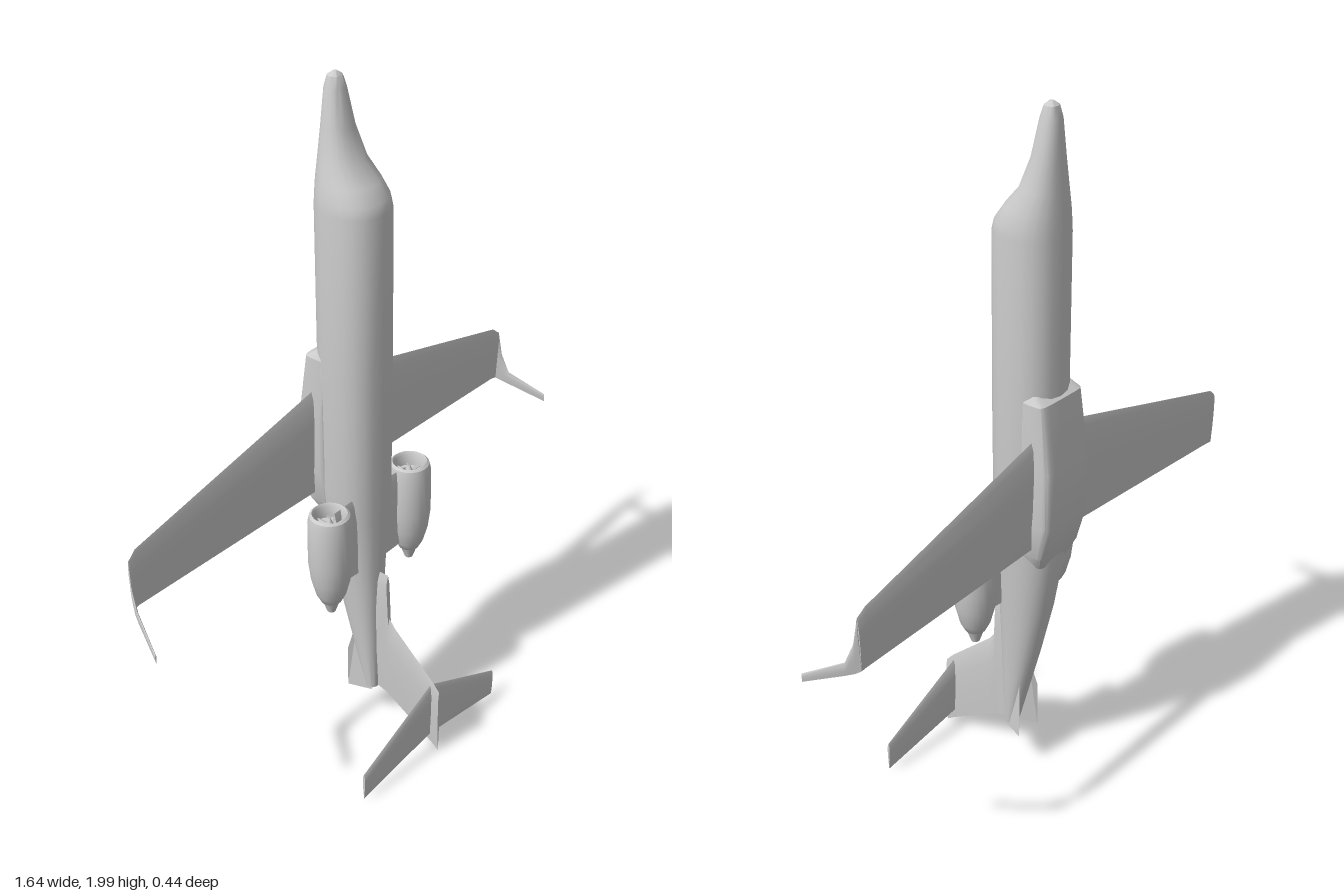
import * as THREE from 'three';
import { toCreasedNormals } from 'three/addons/utils/BufferGeometryUtils.js';

const V = (x, y, z) => new THREE.Vector3(x, y, z);

// Closed solid through equal-length rings of points, wound outward whatever the ring direction
function loft(rings, crease = 0.6) {
  const n = rings[0].length;
  const tris = [];
  for (let i = 0; i < rings.length - 1; i++) {
    for (let j = 0; j < n; j++) {
      const k = (j + 1) % n;
      const a = rings[i][j], b = rings[i][k], c = rings[i + 1][k], d = rings[i + 1][j];
      tris.push([a, b, c], [a, c, d]);
    }
  }
  const cap = (ring, flip) => {
    const mid = ring.reduce((s, p) => s.add(p), V(0, 0, 0)).divideScalar(n);
    ring.forEach((p, j) => {
      const q = ring[(j + 1) % n];
      tris.push(flip ? [mid, q, p] : [mid, p, q]);
    });
  };
  cap(rings[0], true);
  cap(rings[rings.length - 1], false);
  const volume = tris.reduce((s, [a, b, c]) => s + a.dot(b.clone().cross(c)), 0);
  const points = tris.flatMap(([a, b, c]) => (volume < 0 ? [a, c, b] : [a, b, c]));
  return toCreasedNormals(new THREE.BufferGeometry().setFromPoints(points), crease);
}

// Horizontal superellipse ring from half width and the z of its two sides
function bodyRing([y, w, top, belly], power = 2.3, sides = 20) {
  const f = (t) => Math.sign(t) * Math.pow(Math.abs(t), 2 / power);
  return Array.from({ length: sides }, (_, i) => {
    const a = (i / sides) * Math.PI * 2;
    return V(w * f(Math.cos(a)), y, (top + belly) / 2 + ((top - belly) / 2) * f(Math.sin(a)));
  });
}

// Thin aerofoil ring between leading and trailing edge, thickened along a normal
function foil(le, te, thick, normal) {
  const chord = [[0, 0], [0.08, 0.35], [0.3, 0.5], [0.65, 0.35], [1, 0.04],
    [0.65, -0.35], [0.3, -0.5], [0.08, -0.35]];
  return chord.map(([t, h]) => le.clone().lerp(te, t).addScaledVector(normal, h * thick));
}

export function createModel() {
  const model = new THREE.Group();
  const grey = new THREE.MeshStandardMaterial({ color: 0xcccccc });
  const twoSided = new THREE.MeshStandardMaterial({ color: 0xcccccc, side: THREE.DoubleSide });
  const add = (name, geometry, parent = model, material = grey) => {
    const mesh = new THREE.Mesh(geometry, material);
    mesh.name = name;
    parent.add(mesh);
    return mesh;
  };

  // Fuselage: y, half width, upper z, lower z
  const body = [
    [2.0, 0.006, -0.139, -0.151], [1.99, 0.02, -0.128, -0.164], [1.96, 0.029, -0.119, -0.172],
    [1.86, 0.046, -0.099, -0.178], [1.78, 0.064, -0.068, -0.183], [1.73, 0.08, -0.025, -0.186],
    [1.69, 0.09, 0.003, -0.187], [1.66, 0.093, 0.01, -0.188], [1.2, 0.093, 0.01, -0.188],
    [0.82, 0.09, 0.008, -0.19], [0.74, 0.082, 0.004, -0.189], [0.56, 0.064, -0.002, -0.16],
    [0.4, 0.048, -0.006, -0.122], [0.25, 0.034, -0.008, -0.082], [0.125, 0.022, -0.01, -0.048],
  ];
  add('fuselage', loft(body.map((r) => bodyRing(r))));

  // Boxy belly fairing
  const fairing = [
    [1.245, 0.075, -0.12, -0.165], [1.225, 0.088, -0.12, -0.195], [1.04, 0.094, -0.12, -0.221],
    [0.87, 0.094, -0.12, -0.221], [0.77, 0.084, -0.12, -0.196], [0.725, 0.06, -0.12, -0.176],
  ];
  add('bellyFairing', loft(fairing.map((r) => bodyRing(r, 6, 24)), 0.5));

  for (const s of [1, -1]) {
    const side = new THREE.Group();
    side.name = s > 0 ? 'leftSide' : 'rightSide';
    model.add(side);
    const up = V(0, 0, 1);

    // Swept wing with a clipped tip
    add('wing', loft([
      foil(V(0, 1.145, -0.163), V(0, 0.795, -0.163), 0.026, up),
      foil(V(s * 0.09, 1.122, -0.165), V(s * 0.09, 0.797, -0.165), 0.023, up),
      foil(V(s * 0.735, 0.957, -0.178), V(s * 0.735, 0.783, -0.178), 0.009, up),
      foil(V(s * 0.762, 0.935, -0.175), V(s * 0.755, 0.78, -0.177), 0.007, up),
    ]), side);

    // Canted winglet
    const out = V(s * 0.94, 0, -0.34);
    add('winglet', loft([
      foil(V(s * 0.762, 0.935, -0.175), V(s * 0.755, 0.78, -0.177), 0.007, out),
      foil(V(s * 0.768, 0.86, -0.165), V(s * 0.763, 0.772, -0.165), 0.007, out),
      foil(V(s * 0.776, 0.802, -0.142), V(s * 0.774, 0.762, -0.142), 0.006, out),
      foil(V(s * 0.819, 0.745, -0.035), V(s * 0.819, 0.72, -0.035), 0.004, out),
    ]), side);

    // Engine: hollow intake, fan and exhaust cone
    const engine = new THREE.Group();
    engine.name = 'engine';
    engine.position.set(s * 0.169, 0, -0.036);
    side.add(engine);
    const nacelle = [[0, 0.785], [0.042, 0.785], [0.044, 0.82], [0.049, 0.828], [0.056, 0.822],
      [0.061, 0.8], [0.062, 0.67], [0.055, 0.61], [0.042, 0.56], [0.029, 0.535], [0.024, 0.532],
      [0.012, 0.497], [0, 0.494]].map(([r, y]) => new THREE.Vector2(r, y)).reverse();
    add('nacelle', toCreasedNormals(new THREE.LatheGeometry(nacelle, 24), 0.6), engine);
    add('spinner', new THREE.ConeGeometry(0.014, 0.03, 16), engine).position.y = 0.8;
    for (let i = 0; i < 8; i++) {
      const blade = add('fanBlade', new THREE.BoxGeometry(0.036, 0.003, 0.008), engine);
      const a = (i / 8) * Math.PI * 2;
      blade.position.set(Math.cos(a) * 0.024, 0.79, -Math.sin(a) * 0.024);
      blade.rotation.set(0.5, a, 0, 'YXZ');
    }

    // Engine pylon
    add('pylon', loft([
      foil(V(s * 0.04, 0.82, -0.036), V(s * 0.04, 0.56, -0.036), 0.014, up),
      foil(V(s * 0.15, 0.815, -0.036), V(s * 0.15, 0.565, -0.036), 0.014, up),
    ]), side);

    // Half of the high tailplane
    add('tailplane', loft([
      foil(V(0, 0.24, 0.19), V(0, 0.055, 0.19), 0.014, up),
      foil(V(s * 0.295, 0.102, 0.19), V(s * 0.295, 0.012, 0.19), 0.008, up),
    ]), side);

    // Splayed ventral fin
    const fin = new THREE.BufferGeometry().setFromPoints([
      V(s * 0.02, 0.36, -0.07), V(s * 0.016, 0.115, -0.02), V(s * 0.042, 0.115, -0.09),
      V(s * 0.02, 0.36, -0.07), V(s * 0.042, 0.115, -0.09), V(s * 0.042, 0.25, -0.09),
    ]);
    fin.computeVertexNormals();
    add('ventralFin', fin, side, twoSided);
  }

  // Upright fin with its dorsal fillet
  const up = V(1, 0, 0);
  add('tailFin', loft([
    foil(V(0, 0.55, -0.02), V(0, 0.128, -0.02), 0.024, up),
    foil(V(0, 0.55, 0.028), V(0, 0.12, 0.02), 0.02, up),
    foil(V(0, 0.4, 0.034), V(0, 0.114, 0.034), 0.018, up),
    foil(V(0, 0.375, 0.052), V(0, 0.104, 0.052), 0.016, up),
    foil(V(0, 0.25, 0.197), V(0, 0.022, 0.197), 0.012, up),
    foil(V(0, 0.225, 0.22), V(0, 0.006, 0.22), 0.008, up),
  ]));

  // Rest the lowest tip on the ground
  model.position.y = -new THREE.Box3().setFromObject(model).min.y;
  return model;
}
